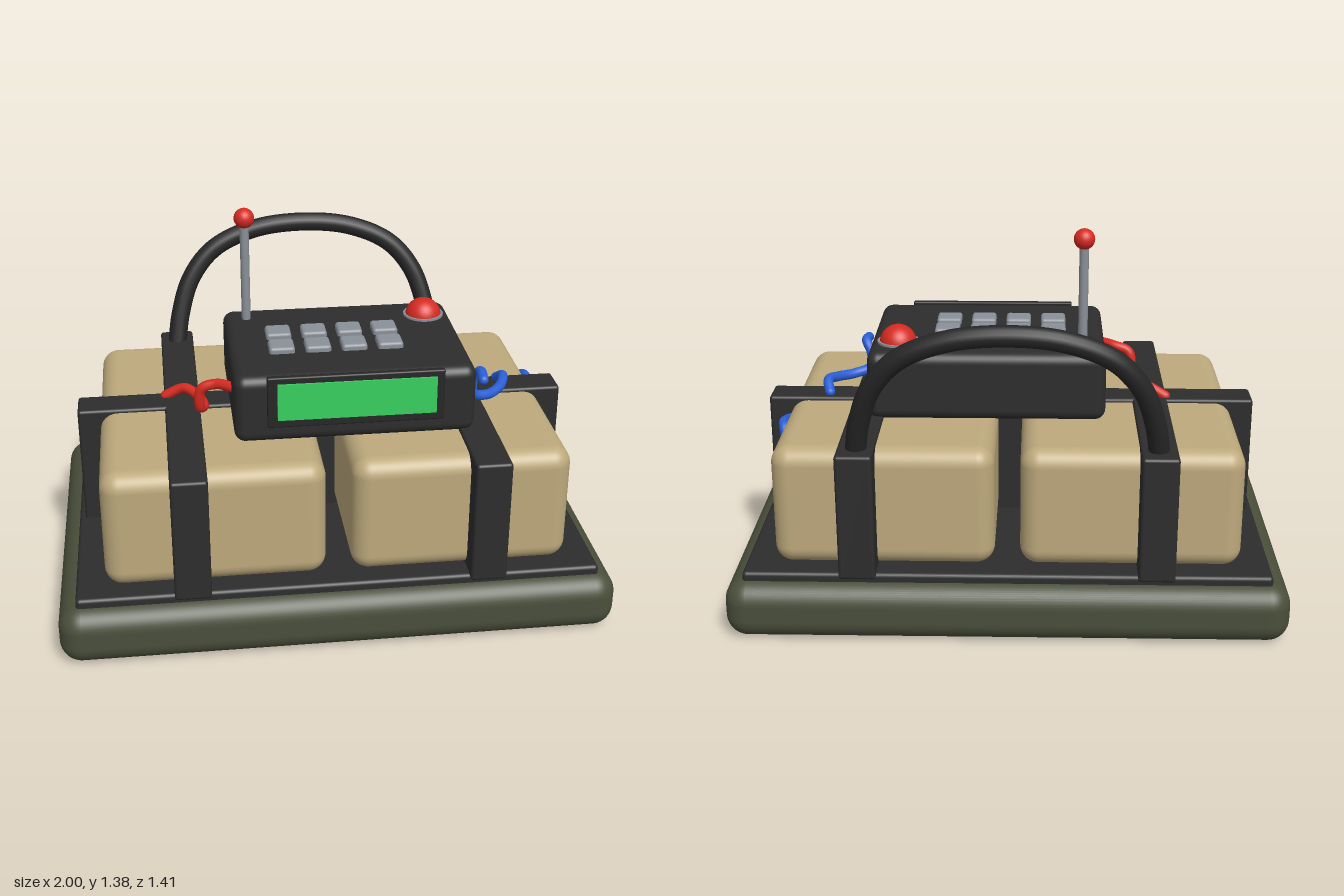
import * as THREE from 'three';
import { RoundedBoxGeometry } from 'three/addons/geometries/RoundedBoxGeometry.js';

export function createModel() {
  const root = new THREE.Group();
  root.name = 'strappedPackWithControlUnit';

  const mat = (name, color) => {
    const m = new THREE.MeshStandardMaterial({ color });
    m.name = name;
    return m;
  };
  const olive = mat('olive', 0x4a4f3b);
  const tan = mat('tan', 0xbda97c);
  const dark = mat('darkGrey', 0x2d2d2e);
  const black = mat('black', 0x262627);
  const grey = mat('keyGrey', 0x8a9098);
  const red = mat('red', 0xd62a20);
  const blue = mat('blue', 0x2a5fd6);
  const green = mat('screenGreen', 0x38d060);

  const add = (name, geometry, material, x = 0, y = 0, z = 0) => {
    const mesh = new THREE.Mesh(geometry, material);
    mesh.name = name;
    mesh.position.set(x, y, z);
    root.add(mesh);
    return mesh;
  };
  // Rounded box given by its limits on each axis
  const box = (name, material, [x0, x1], [y0, y1], [z0, z1], r, seg = 4) =>
    add(name, new RoundedBoxGeometry(x1 - x0, y1 - y0, z1 - z0, seg, r), material,
      (x0 + x1) / 2, (y0 + y1) / 2, (z0 + z1) / 2);
  // Tube through points, with round ends
  const tube = (name, material, pts, r, seg = 64) => {
    const points = pts.map((p) => new THREE.Vector3(...p));
    const curve = new THREE.CatmullRomCurve3(points, false, 'centripetal');
    add(name, new THREE.TubeGeometry(curve, seg, r, 14), material);
    for (const p of [points[0], points[points.length - 1]])
      add(name + 'End', new THREE.SphereGeometry(r, 14, 10), material, p.x, p.y, p.z);
  };

  // Base cushion and tray
  box('base', olive, [-1, 1], [0, 0.215], [-0.68, 0.7], 0.08, 6);
  box('tray', dark, [-0.935, 0.935], [0.19, 0.245], [-0.62, 0.64], 0.015);

  // Two blocks, each held by a lengthwise strap
  for (const s of [-1, 1]) {
    const span = (a, b) => [Math.min(s * a, s * b), Math.max(s * a, s * b)];
    box('block', tan, span(0.045, 0.83), [0.24, 0.683], [-0.555, 0.58], 0.065, 6);
    box('lengthStrap', dark, span(0.46, 0.59), [0.23, 0.697], [-0.64, 0.66], 0.012);
  }
  box('crossStrap', dark, [-0.912, 0.912], [0.22, 0.697], [-0.055, 0.075], 0.012);

  // Leaning carry handle
  const arch = [[0.525, 0.68], [0.505, 0.8], [0.455, 0.94], [0.36, 1.05], [0.2, 1.12], [0, 1.142]];
  const lean = ([x, y]) => [x, y, -0.55 - (y - 0.68) * 0.262];
  tube('handle', black, [
    ...arch.map(([x, y]) => lean([-x, y])),
    ...arch.slice(0, -1).reverse().map(lean),
  ], 0.037, 80);

  // Control unit with display
  box('controlUnit', dark, [-0.35, 0.515], [0.685, 0.94], [-0.265, 0.385], 0.04, 5);
  box('displayFrame', black, [-0.235, 0.395], [0.752, 0.945], [0.375, 0.4], 0.006, 2);
  add('display', new THREE.BoxGeometry(0.565, 0.138, 0.008), green, 0.083, 0.852, 0.403);

  // Keypad
  for (const z of [0.01, 0.14])
    for (let i = 0; i < 4; i++)
      add('key', new RoundedBoxGeometry(0.093, 0.04, 0.093, 3, 0.012), grey, -0.16 + i * 0.132, 0.943, z);

  // Push button in a collar
  add('buttonCollar', new THREE.CylinderGeometry(0.076, 0.076, 0.012, 32), grey, 0.41, 0.942, -0.12);
  add('button', new THREE.SphereGeometry(0.068, 32, 12, 0, Math.PI * 2, 0, Math.PI / 2), red, 0.41, 0.938, -0.12);

  // Antenna
  add('antennaRod', new THREE.CylinderGeometry(0.017, 0.017, 0.4, 16), grey, -0.265, 1.13, -0.16);
  add('antennaTip', new THREE.SphereGeometry(0.038, 24, 16), red, -0.265, 1.34, -0.16);

  // Wires
  tube('redWire', red, [
    [-0.33, 0.835, 0.235], [-0.4, 0.832, 0.18], [-0.455, 0.81, 0.168], [-0.462, 0.73, 0.155],
    [-0.447, 0.718, 0.12], [-0.465, 0.725, 0.05], [-0.515, 0.735, -0.005], [-0.585, 0.7, -0.023],
  ], 0.019);
  tube('blueWire', blue, [
    [0.565, 0.833, 0.265], [0.567, 0.838, 0.2], [0.548, 0.8, 0.178], [0.55, 0.74, 0.18],
    [0.61, 0.72, 0.155], [0.67, 0.725, 0.1], [0.697, 0.735, 0.03], [0.685, 0.705, -0.02],
  ], 0.019);
  tube('sideWire', blue, [
    [0.825, 0.605, -0.03], [0.84, 0.622, -0.1], [0.84, 0.637, -0.17],
    [0.833, 0.625, -0.2], [0.828, 0.575, -0.205],
  ], 0.019, 40);

  return root;
}
